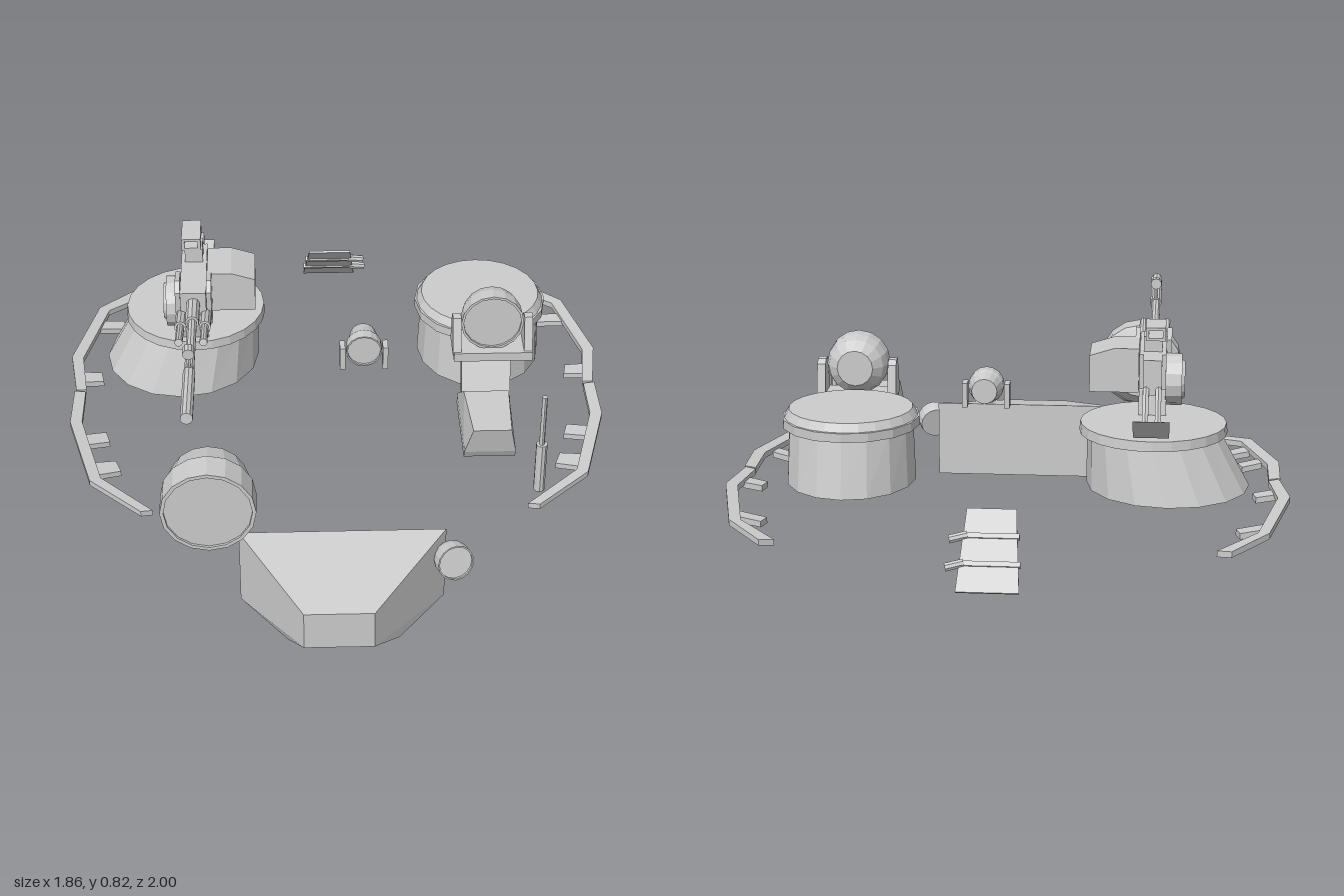
import * as THREE from 'three';
import { ConvexGeometry } from 'three/addons/geometries/ConvexGeometry.js';

const grey = new THREE.MeshStandardMaterial({ color: 0xcccccc, flatShading: true });
grey.name = 'light grey';
const V = (x, y, z) => new THREE.Vector3(x, y, z);

function add(parent, name, geometry) {
  const mesh = new THREE.Mesh(geometry, grey);
  mesh.name = name;
  parent.add(mesh);
  return mesh;
}

// box given by its limits on each axis
function block(parent, name, x0, x1, y0, y1, z0, z1) {
  const mesh = add(parent, name, new THREE.BoxGeometry(x1 - x0, y1 - y0, z1 - z0));
  mesh.position.set((x0 + x1) / 2, (y0 + y1) / 2, (z0 + z1) / 2);
  return mesh;
}

// round bar between two points
function rod(parent, name, a, b, ra, rb = ra, sides = 10) {
  const d = b.clone().sub(a);
  const mesh = add(parent, name, new THREE.CylinderGeometry(rb, ra, d.length(), sides));
  mesh.position.copy(a).addScaledVector(d, 0.5);
  mesh.quaternion.setFromUnitVectors(V(0, 1, 0), d.normalize());
  return mesh;
}

// side outline in [z, y], drawn across x0..x1
function slab(parent, name, x0, x1, outline) {
  const pts = outline.flatMap(([z, y]) => [V(x0, y, z), V(x1, y, z)]);
  return add(parent, name, new ConvexGeometry(pts));
}

// lamp facing +z, profile in [radius, z] from back to front
function lamp(parent, name, profile, x, y, z, sides = 16) {
  const [r, f] = profile[profile.length - 1];
  const pts = [[0, profile[0][1]], ...profile, [r * 0.92, f], [r * 0.92, f - 0.008], [0, f - 0.008]];
  const g = new THREE.LatheGeometry(pts.map(p => new THREE.Vector2(...p)), sides);
  g.rotateX(Math.PI / 2);
  const mesh = add(parent, name, g);
  mesh.position.set(x, y, z);
  return mesh;
}

// drum whose foot is an ellipse shifted away from its top circle
function drum(parent, name, top, foot, y0, y1) {
  const g = new THREE.CylinderGeometry(1, 1, 1, 16);
  const p = g.attributes.position;
  for (let i = 0; i < p.count; i++) {
    const e = p.getY(i) > 0 ? top : foot;
    p.setXYZ(i, e.x + p.getX(i) * e.rx, p.getY(i) > 0 ? y1 : y0, e.z + p.getZ(i) * e.rz);
  }
  return add(parent, name, g);
}

// flat strip drawn in [x, z], sloping down towards the middle
function strip(parent, name, side, pts, drop = 0) {
  const shape = new THREE.Shape(pts.map(([x, z]) => new THREE.Vector2(side * x, -z)));
  const g = new THREE.ExtrudeGeometry(shape, { depth: 0.02, bevelEnabled: false });
  g.rotateX(-Math.PI / 2);
  const p = g.attributes.position;
  for (let i = 0; i < p.count; i++) {
    p.setY(i, p.getY(i) + 0.25 - drop - (0.93 - Math.abs(p.getX(i))) * 0.14);
  }
  return add(parent, name, g);
}

function bow(root) {
  add(root, 'bowPlate', new ConvexGeometry([
    V(-0.33, 0.275, 0.685), V(0.33, 0.275, 0.685), V(-0.33, 0, 0.685), V(0.33, 0, 0.685),
    V(-0.13, 0.205, 1), V(0.09, 0.205, 1), V(-0.13, 0.068, 1), V(0.09, 0.068, 1),
    V(-0.18, 0, 0.885), V(0.175, 0, 0.885)]));
  const head = lamp(root, 'bowLamp', [[0.056, -0.028], [0.06, -0.01], [0.06, 0.028]], 0.35, 0.195, 0.742);
  head.rotation.set(-0.25, 0.27, 0);
}

function looseLamps(root) {
  lamp(root, 'largeSearchlight',
    [[0.085, -0.225], [0.122, -0.18], [0.143, -0.105], [0.15, -0.095], [0.15, 0]], -0.42, 0.437, 0.783);
  slab(root, 'searchlightFoot', -0.447, -0.39, [[0.68, 0.3], [0.56, 0.33], [0.54, 0.295], [0.62, 0.245]]);
  lamp(root, 'smallLamp', [[0.043, -0.105], [0.055, -0.05], [0.06, -0.04], [0.06, 0]], 0.092, 0.528, 0.055);
  for (const s of [-1, 1]) {
    const x = 0.092 + s * 0.072;
    block(root, 'smallLampLeg', x - 0.009, x + 0.009, 0.455, 0.54, 0.005, 0.055);
  }
}

// turret carrying the machine gun
function gunTurret(root) {
  const t = new THREE.Group();
  t.name = 'gunTurret';
  root.add(t);
  drum(t, 'turretWall', { x: -0.48, z: -0.285, rx: 0.215, rz: 0.22 },
    { x: -0.53, z: -0.285, rx: 0.265, rz: 0.262 }, 0.297, 0.48);
  const roof = add(t, 'turretRoof', new THREE.CylinderGeometry(0.237, 0.24, 0.032, 24));
  roof.position.set(-0.48, 0.491, -0.285);

  const x = -0.475;
  slab(t, 'gunPedestal', x - 0.045, x + 0.045, [[-0.08, 0.5], [-0.22, 0.5], [-0.2, 0.64], [-0.05, 0.64]]);
  for (const s of [-1, 1]) {
    const c = x + s * 0.052;
    slab(t, 'mountCheek', c - 0.008, c + 0.008, [[-0.02, 0.6], [-0.11, 0.57], [-0.13, 0.74], [-0.04, 0.76], [-0.01, 0.73]]);
    rod(t, 'recoilTube', V(x + s * 0.04, 0.64, -0.02), V(x + s * 0.04, 0.675, 0.11), 0.02);
    rod(t, 'recoilRod', V(x + s * 0.04, 0.675, 0.11), V(x + s * 0.04, 0.71, 0.25), 0.013);
  }
  block(t, 'receiver', x - 0.043, x + 0.043, 0.62, 0.735, -0.31, 0);
  block(t, 'receiverTail', x - 0.03, x + 0.03, 0.62, 0.735, -0.385, -0.3);
  rod(t, 'barrel', V(x, 0.692, -0.02), V(x, 0.73, 0.44), 0.016);
  rod(t, 'barrelSleeve', V(x, 0.73, 0.44), V(x, 0.756, 0.722), 0.02);
  rod(t, 'barrelCollar', V(x, 0.692, -0.01), V(x, 0.706, 0.13), 0.023);
  rod(t, 'sightPost', V(x, 0.74, 0.44), V(x, 0.785, 0.436), 0.007, 0.007, 6);
  rod(t, 'frontSight', V(x, 0.803, 0.418), V(x, 0.803, 0.452), 0.019);

  // rear sight hood
  const hood = new THREE.Shape([[-0.032, 0], [0.032, 0], [0.032, 0.043], [-0.032, 0.043]].map(p => new THREE.Vector2(...p)));
  hood.holes.push(new THREE.Path([[-0.022, 0.009], [-0.022, 0.034], [0.022, 0.034], [0.022, 0.009]].map(p => new THREE.Vector2(...p))));
  const h = add(t, 'sightHood', new THREE.ExtrudeGeometry(hood, { depth: 0.125, bevelEnabled: false }));
  h.position.set(x - 0.008, 0.782, -0.318);
  block(t, 'sightBase', x - 0.03, x + 0.03, 0.73, 0.784, -0.27, -0.195);

  // ammunition box on one side, drum on the other
  add(t, 'ammoBox', new ConvexGeometry([-0.27, -0.105].flatMap(z => [
    V(-0.43, 0.597, z), V(-0.27, 0.597, z), V(-0.27, 0.718, z), V(-0.35, 0.743, z), V(-0.43, 0.743, z)])));
  rod(t, 'ammoDrum', V(-0.57, 0.612, -0.148), V(-0.515, 0.612, -0.148), 0.085, 0.085, 14);
  rod(t, 'ammoDrumCover', V(-0.58, 0.612, -0.148), V(-0.569, 0.612, -0.148), 0.06, 0.065, 14);

  // shoulder stock and rest
  for (const s of [-1, 1]) {
    rod(t, 'stockBar', V(x + s * 0.02, 0.65, -0.37), V(x + s * 0.02, 0.54, -0.475), 0.011, 0.011, 6);
  }
  slab(t, 'shoulderRest', -0.532, -0.418, [[-0.41, 0.515], [-0.505, 0.515], [-0.575, 0.588], [-0.47, 0.558]]);
}

// turret carrying the lamp and the sloped housing
function lampTurret(root) {
  const t = new THREE.Group();
  t.name = 'lampTurret';
  root.add(t);
  drum(t, 'turretWall', { x: 0.508, z: -0.29, rx: 0.205, rz: 0.215 },
    { x: 0.508, z: -0.3, rx: 0.213, rz: 0.245 }, 0.297, 0.49);
  drum(t, 'turretRing', { x: 0.508, z: -0.29, rx: 0.226, rz: 0.23 },
    { x: 0.508, z: -0.29, rx: 0.226, rz: 0.23 }, 0.48, 0.51);
  const cap = add(t, 'turretCap', new THREE.CylinderGeometry(0.203, 0.22, 0.03, 24));
  cap.position.set(0.508, 0.522, -0.29);

  lamp(t, 'turretLamp', [[0.06, -0.115], [0.092, -0.085], [0.103, -0.05], [0.105, 0]], 0.523, 0.611, 0.022);
  block(t, 'lampPlate', 0.395, 0.66, 0.48, 0.512, -0.12, 0.055);
  for (const s of [-1, 1]) {
    const x = 0.525 + s * 0.12;
    slab(t, 'lampFork', x - 0.014, x + 0.014, [[0.05, 0.5], [-0.06, 0.5], [-0.04, 0.61], [-0.02, 0.625], [0.01, 0.625]]);
  }
  slab(t, 'lampBrace', 0.425, 0.59, [[-0.06, 0.49], [0.0, 0.49], [0.065, 0.34], [0.055, 0.31], [0.02, 0.31]]);

  // sloped housing with an undercut front
  add(t, 'slopedHousing', new ConvexGeometry([
    V(0.435, 0.44, 0.39), V(0.56, 0.44, 0.39), V(0.42, 0.44, 0.17), V(0.57, 0.44, 0.17),
    V(0.41, 0.345, 0.05), V(0.58, 0.345, 0.05), V(0.41, 0.305, 0.05), V(0.58, 0.305, 0.05),
    V(0.41, 0.335, 0.365), V(0.58, 0.335, 0.365), V(0.41, 0.305, 0.35), V(0.58, 0.305, 0.35)]));

  rod(t, 'aerialBase', V(0.667, 0.163, 0.348), V(0.667, 0.35, 0.348), 0.019);
  rod(t, 'aerialRod', V(0.667, 0.35, 0.348), V(0.667, 0.54, 0.348), 0.009);
}

// curved guard rails with their tabs, mirrored
function rails(root) {
  for (const s of [-1, 1]) {
    strip(root, 'rearRail', s, [[0.73, -0.78], [0.85, -0.645], [0.928, -0.315], [0.9, -0.118],
      [0.865, -0.125], [0.888, -0.315], [0.815, -0.63], [0.685, -0.757]]);
    strip(root, 'frontRail', s, [[0.905, -0.112], [0.908, 0.07], [0.823, 0.378], [0.65, 0.515],
      [0.612, 0.503], [0.788, 0.358], [0.868, 0.062], [0.867, -0.112]]);
    const tabs = [
      [[0.842, -0.575], [0.76, -0.588], [0.748, -0.54], [0.85, -0.52]],
      [[0.885, -0.245], [0.82, -0.252], [0.81, -0.2], [0.88, -0.185]],
      [[0.852, 0.115], [0.785, 0.092], [0.77, 0.145], [0.84, 0.17]],
      [[0.815, 0.265], [0.745, 0.245], [0.725, 0.298], [0.8, 0.33]]];
    for (const tab of tabs) strip(root, 'railTab', s, tab, 0.012);
  }
}

// leaning three-piece flap with battens and pegs
function flap(root) {
  const f = new THREE.Group();
  f.name = 'rearFlap';
  f.position.set(0, 0.272, -0.91);
  f.rotation.x = 0.72;
  root.add(f);
  for (let i = 0; i < 3; i++) {
    const y0 = -0.136 + i * 0.091, w0 = 0.096 - i * 0.007, w1 = w0 - 0.006;
    const pts = [-0.004, 0.004].flatMap(z => [V(-w0, y0, z), V(w0, y0, z), V(-w1, y0 + 0.09, z), V(w1, y0 + 0.09, z)]);
    add(f, 'flapPanel', new ConvexGeometry(pts));
    if (i < 2) {
      const y = y0 + 0.091;
      block(f, 'flapBatten', -w0, w0, y - 0.008, y + 0.008, -0.009, 0.009);
      rod(f, 'flapPeg', V(w0 - 0.02, y + 0.004, 0), V(w0 + 0.036, y - 0.012, 0), 0.014, 0.014, 8);
    }
  }
}

export function createModel() {
  const root = new THREE.Group();
  root.name = 'vehicleFittings';
  for (const build of [bow, looseLamps, gunTurret, lampTurret, rails, flap]) build(root);
  return root;
}
